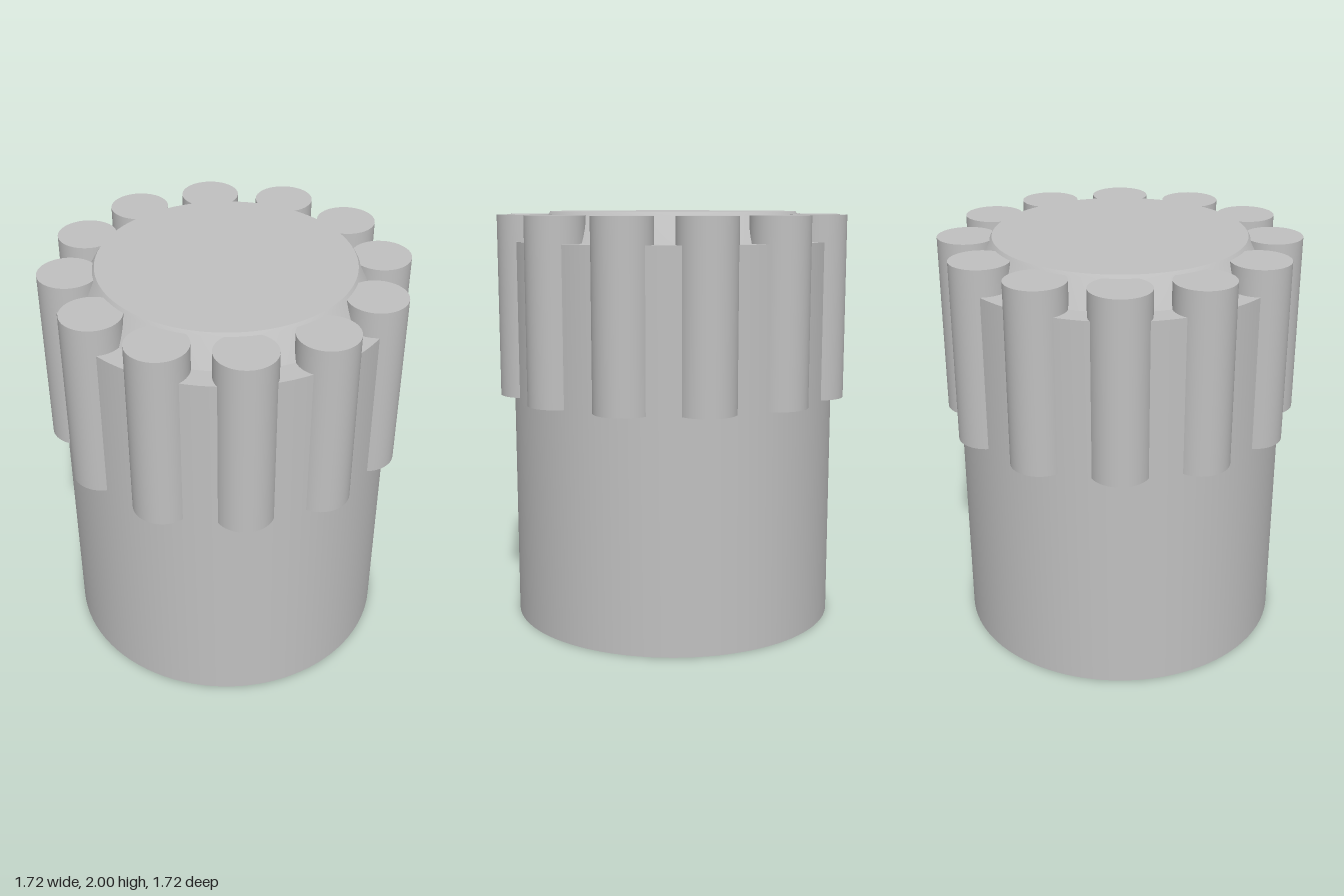
import * as THREE from 'three';
import { toCreasedNormals } from 'three/addons/utils/BufferGeometryUtils.js';

const PIN_COUNT = 12;
const PIN_RADIUS = 0.14;
const PIN_CIRCLE = 0.72;
const PIN_BOTTOM = 1.115;
const PIN_TOP = 1.985;

export function createModel() {
  const model = new THREE.Group();
  model.name = 'pinnedHub';
  const grey = new THREE.MeshStandardMaterial({ color: 0xc0c0c0 });
  grey.name = 'plain grey';

  // Hub: tapered bore below, straight wall, ledge, sloped collar and flat cap
  const profile = [
    [0, 0.8], [0.37, 0], [0.79, 0], [0.79, 1.86],
    [0.68, 1.86], [0.61, 1.985], [0.6, 2], [0, 2],
  ].map(([r, y]) => new THREE.Vector2(r, y));
  const hubGeometry = toCreasedNormals(new THREE.LatheGeometry(profile, 96), 0.35);
  const hub = new THREE.Mesh(hubGeometry, grey);
  hub.name = 'hub';
  model.add(hub);

  // Ring of round pins set into the upper wall
  const pins = new THREE.Group();
  pins.name = 'pins';
  const pinGeometry = new THREE.CylinderGeometry(PIN_RADIUS, PIN_RADIUS, PIN_TOP - PIN_BOTTOM, 48);
  for (let i = 0; i < PIN_COUNT; i++) {
    const angle = (i / PIN_COUNT) * Math.PI * 2;
    const pin = new THREE.Mesh(pinGeometry, grey);
    pin.name = `pin${i + 1}`;
    pin.position.set(
      Math.sin(angle) * PIN_CIRCLE,
      (PIN_TOP + PIN_BOTTOM) / 2,
      Math.cos(angle) * PIN_CIRCLE,
    );
    pins.add(pin);
  }
  model.add(pins);
  return model;
}
